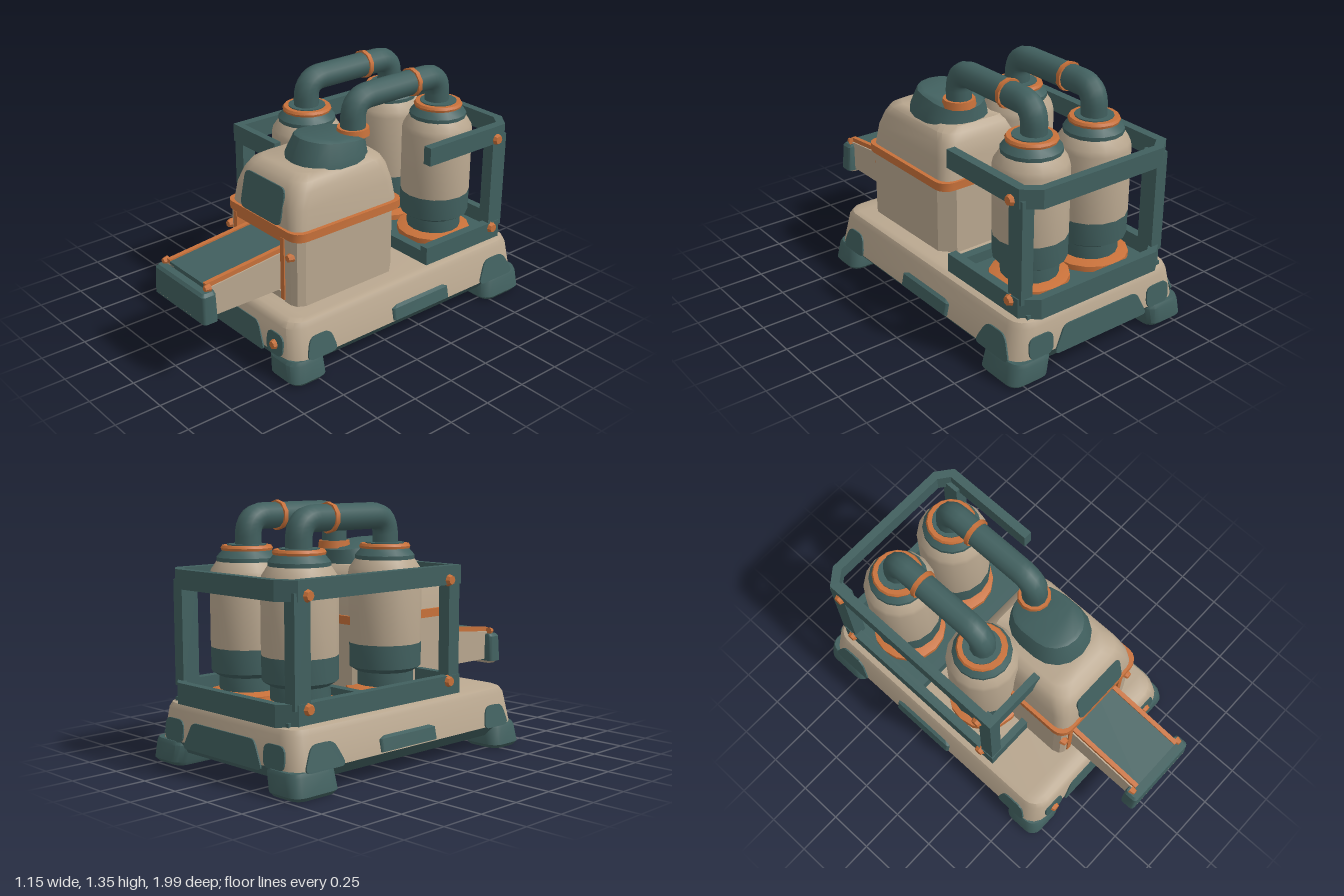
import * as THREE from 'three';
import { toCreasedNormals } from 'three/addons/utils/BufferGeometryUtils.js';

const flat = (name, color) => Object.assign(new THREE.MeshStandardMaterial({ color }), { name });

// Rounded rectangle rings stacked upwards: [y, x0, x1, z0, z1, radius, slope along z]
function loft(sections, seg = 4) {
  const rings = sections.map(([y, x0, x1, z0, z1, r, slope = 0]) => {
    const ring = [];
    [[x1 - r, z1 - r], [x0 + r, z1 - r], [x0 + r, z0 + r], [x1 - r, z0 + r]].forEach(([cx, cz], q) => {
      for (let i = 0; i <= seg; i++) {
        const a = (q + i / seg) * Math.PI / 2;
        const z = cz + r * Math.sin(a);
        ring.push([cx + r * Math.cos(a), y + slope * z, z]);
      }
    });
    return ring;
  });
  const n = rings[0].length, pos = [];
  const tri = (...p) => p.forEach(v => pos.push(...v));
  for (let i = 0; i < rings.length - 1; i++) {
    for (let j = 0; j < n; j++) {
      const k = (j + 1) % n, a = rings[i], b = rings[i + 1];
      tri(a[j], b[j], a[k]);
      tri(a[k], b[j], b[k]);
    }
  }
  const low = rings[0], high = rings[rings.length - 1];
  for (let j = 1; j < n - 1; j++) {
    tri(low[0], low[j], low[j + 1]);
    tri(high[0], high[j + 1], high[j]);
  }
  const g = new THREE.BufferGeometry();
  g.setAttribute('position', new THREE.Float32BufferAttribute(pos, 3));
  return toCreasedNormals(g, 0.6);
}

// Outline in plan (x, z) extruded down from top
function plan(points, top, height) {
  const shape = new THREE.Shape(points.map(p => new THREE.Vector2(...p)));
  return new THREE.ExtrudeGeometry(shape, { depth: height, bevelEnabled: false })
    .rotateX(Math.PI / 2).translate(0, top, 0);
}

const lathe = (pts, seg = 16) =>
  toCreasedNormals(new THREE.LatheGeometry(pts.map(p => new THREE.Vector2(...p)), seg), 0.6);

export function createModel() {
  const model = new THREE.Group();
  const tan = flat('tan paint', 0xb9a78f);
  const teal = flat('dark teal', 0x41605f);
  const orange = flat('copper orange', 0xc8713a);

  const add = (name, geo, mat, x = 0, y = 0, z = 0) => {
    const m = new THREE.Mesh(geo, mat);
    m.name = name;
    m.position.set(x, y, z);
    model.add(m);
    return m;
  };
  const box = (name, mat, x0, x1, y0, y1, z0, z1) =>
    add(name, new THREE.BoxGeometry(x1 - x0, y1 - y0, z1 - z0), mat, (x0 + x1) / 2, (y0 + y1) / 2, (z0 + z1) / 2);
  // Bolt whose axis turns by yaw away from the front
  const bolt = (x, y, z, yaw = 0, r = 0.032) => {
    const g = new THREE.CylinderGeometry(r * 0.65, r, 0.03, 8).rotateX(Math.PI / 2);
    add('bolt', toCreasedNormals(g, 0.3), orange, x, y, z).rotation.y = yaw;
  };
  // Thin painted panel leaning back by tilt
  const panel = (name, mat, w, h, r, x, y, z, yaw, tilt, wTop = w) => {
    const s = new THREE.Shape();
    const c = [[-w / 2, -h / 2], [w / 2, -h / 2], [wTop / 2, h / 2], [-wTop / 2, h / 2]].map(p => new THREE.Vector2(...p));
    c.forEach((p, i) => {
      const a = p.clone().lerp(c[(i + 3) % 4], r / p.distanceTo(c[(i + 3) % 4]));
      const b = p.clone().lerp(c[(i + 1) % 4], r / p.distanceTo(c[(i + 1) % 4]));
      i ? s.lineTo(a.x, a.y) : s.moveTo(a.x, a.y);
      s.quadraticCurveTo(p.x, p.y, b.x, b.y);
    });
    const m = add(name, new THREE.ExtrudeGeometry(s, { depth: 0.009, bevelEnabled: false, curveSegments: 4 }), mat, x, y, z);
    m.rotation.set(-tilt, yaw, 0, 'YXZ');
  };

  // Base with dark skirt
  add('baseSkirt', loft([[0.07, -0.5, 0.5, -0.93, 0.61, 0.1], [0.13, -0.55, 0.55, -0.965, 0.65, 0.1]]), teal);
  add('base', loft([[0.13, -0.55, 0.55, -0.965, 0.65, 0.1], [0.29, -0.515, 0.515, -0.955, 0.635, 0.1],
    [0.318, -0.5, 0.5, -0.94, 0.615, 0.09], [0.328, -0.475, 0.475, -0.915, 0.59, 0.07]]), tan);

  // Feet, corner guards and side panels
  for (const s of [-1, 1]) {
    for (const [z0, z1] of [[0.44, 0.665], [-0.99, -0.7]]) {
      const xs = (a, b) => s > 0 ? [a, b] : [-b, -a];
      add('foot', loft([[0, ...xs(0.35, 0.56), z0 + 0.02, z1 - 0.02, 0.05], [0.02, ...xs(0.34, 0.575), z0, z1, 0.06],
        [0.11, ...xs(0.32, 0.56), z0, z1 - 0.005, 0.07], [0.13, ...xs(0.33, 0.55), z0 + 0.01, z1 - 0.02, 0.06]]), teal);
    }
    const yaw = s * Math.PI / 2;
    panel('frontGuard', teal, 0.13, 0.12, 0.045, s * 0.39, 0.185, 0.643, 0, 0.1);
    panel('backGuard', teal, 0.15, 0.12, 0.045, s * 0.39, 0.185, -0.961, Math.PI, 0.08);
    panel('sideGuard', teal, 0.2, 0.12, 0.04, s * 0.538, 0.18, 0.47, yaw, 0.21, 0.13);
    panel('sideGuard', teal, 0.27, 0.13, 0.04, s * 0.538, 0.185, -0.79, yaw, 0.21, 0.14);
    bolt(s * 0.39, 0.18, 0.655);
    const side = add('sidePanel', loft([[-0.04, -0.2, 0.2, -0.02, 0.02, 0.015], [0.025, -0.2, 0.2, -0.02, 0.02, 0.015],
      [0.04, -0.17, 0.17, -0.02, 0.005, 0.01]]), teal, s * 0.535, 0.175, -0.215);
    side.rotation.set(-0.21, yaw, 0, 'YXZ');
  }
  panel('frontPanel', teal, 0.62, 0.14, 0.03, 0, 0.175, 0.644, 0, 0.12, 0.48);
  panel('backPanel', teal, 0.62, 0.14, 0.03, 0, 0.175, -0.963, Math.PI, 0.08, 0.48);

  // Housing: notched lower walls, band and tapered upper shell
  add('housingWalls', plan([[-0.185, -0.12], [-0.12, -0.195], [0.32, -0.195], [0.39, -0.12], [0.395, 0.45], [0.375, 0.49], [0.34, 0.505],
    [0.29, 0.505], [0.29, 0.2], [-0.13, 0.2], [-0.13, 0.505], [-0.15, 0.505], [-0.175, 0.49], [-0.188, 0.45]], 0.71, 0.39), tan);
  add('housingBand', loft([[0.7, -0.2, 0.412, -0.205, 0.52, 0.07], [0.745, -0.2, 0.412, -0.205, 0.52, 0.07]]), orange);
  add('housingTop', loft([[0.74, -0.18, 0.39, -0.19, 0.505, 0.07], [0.85, -0.165, 0.375, -0.18, 0.495, 0.08],
    [0.93, -0.145, 0.355, -0.165, 0.468, 0.09], [0.975, -0.12, 0.335, -0.14, 0.44, 0.09],
    [1.0, -0.08, 0.295, -0.11, 0.395, 0.08]]), tan);
  panel('window', teal, 0.33, 0.2, 0.04, 0.105, 0.845, 0.491, 0, 0.2);
  add('hopperCap', loft([[0.98, -0.04, 0.325, -0.11, 0.335, 0.17], [1.02, -0.035, 0.32, -0.105, 0.33, 0.17],
    [1.085, 0, 0.29, -0.1, 0.285, 0.14, 0.13], [1.096, 0.02, 0.27, -0.08, 0.265, 0.12, 0.13]]), teal);

  // Opening lining
  box('openingSill', tan, -0.13, 0.29, 0.32, 0.37, 0.2, 0.5);
  box('openingBack', teal, -0.13, 0.29, 0.37, 0.7, 0.2, 0.21);
  box('openingLintel', orange, -0.13, 0.29, 0.665, 0.705, 0.45, 0.51);
  for (const [a, b] of [[-0.135, -0.105], [0.265, 0.295]]) box('openingJamb', orange, a, b, 0.34, 0.69, 0.3, 0.512);
  bolt(-0.17, 0.6, 0.51, 0, 0.027);
  bolt(0.34, 0.6, 0.51, 0, 0.027);

  // Output tray with sloping belt
  box('trayBody', tan, -0.105, 0.255, 0.385, 0.54, 0.25, 0.94);
  const belt = new THREE.Group();
  belt.name = 'belt';
  belt.position.set(0.075, 0.575, 0.62);
  belt.rotation.x = 0.1;
  for (const [name, mat, w, h, x, y] of [['beltBase', tan, 0.36, 0.05, 0, -0.022], ['beltSurface', teal, 0.3, 0.03, 0, 0.004],
    ['beltRail', orange, 0.025, 0.036, -0.16, 0.01], ['beltRail', orange, 0.025, 0.036, 0.16, 0.01]]) {
    const m = new THREE.Mesh(new THREE.BoxGeometry(w, h, 0.66), mat);
    m.name = name;
    m.position.set(x, y, 0);
    belt.add(m);
  }
  model.add(belt);
  add('trayLip', loft([[0.36, -0.13, 0.27, 0.925, 0.985, 0.02], [0.385, -0.155, 0.295, 0.915, 1, 0.02]]), tan);
  add('trayEnd', loft([[0.375, -0.157, 0.297, 0.914, 1, 0.02], [0.52, -0.148, 0.288, 0.915, 0.998, 0.02],
    [0.535, -0.135, 0.275, 0.92, 0.985, 0.015]]), teal);
  for (const x of [-0.115, 0.255]) bolt(x, 0.55, 0.95, 0, 0.022);

  // Tanks
  const tanks = [[-0.205, -0.04], [-0.205, -0.635], [0.195, -0.635]];
  for (const [x, z] of tanks) {
    const part = (name, pts, mat) => add(name, lathe(pts), mat, x, 0, z);
    part('tankFlange', [[0, 0.33], [0.205, 0.33], [0.205, 0.375], [0.15, 0.39], [0, 0.39]], orange);
    part('tankFoot', [[0.15, 0.38], [0.15, 0.46], [0.19, 0.485], [0.192, 0.61]], teal);
    part('tankBody', [[0.192, 0.61], [0.192, 0.97], [0.185, 1.0], [0.155, 1.045], [0.1, 1.05]], tan);
    part('tankCap', [[0.155, 1.04], [0.155, 1.065], [0.125, 1.1], [0, 1.105]], teal);
    part('tankRing', [[0.1, 1.1], [0.13, 1.1], [0.133, 1.112], [0.125, 1.125], [0.095, 1.125], [0, 1.12]], orange);
    part('tankInset', [[0.1, 1.115], [0.1, 1.13], [0, 1.13]], teal);
  }

  // Bent pipes and their collars
  const v = (y, z) => new THREE.Vector3(0, y, z);
  const path = new THREE.CurvePath();
  path.add(new THREE.LineCurve3(v(1.08, -0.035), v(1.17, -0.035)));
  path.add(new THREE.QuadraticBezierCurve3(v(1.17, -0.035), v(1.27, -0.035), v(1.27, -0.14)));
  path.add(new THREE.LineCurve3(v(1.27, -0.14), v(1.27, -0.54)));
  path.add(new THREE.QuadraticBezierCurve3(v(1.27, -0.54), v(1.27, -0.635), v(1.17, -0.635)));
  path.add(new THREE.LineCurve3(v(1.17, -0.635), v(1.08, -0.635)));
  for (const x of [-0.203, 0.182]) {
    add('pipe', new THREE.TubeGeometry(path, 40, 0.068, 12), teal, x);
    add('pipeCollar', new THREE.CylinderGeometry(0.078, 0.078, 0.025, 10).rotateX(Math.PI / 2), orange, x, 1.27, -0.44);
  }
  add('hopperCollar', new THREE.CylinderGeometry(0.085, 0.09, 0.04, 12), orange, 0.182, 1.1, -0.035);

  // Cage rails, open on the right front, with chamfered back corners
  const rail = [[-0.47, 0.26], [-0.1, 0.26], [-0.1, 0.22], [-0.42, 0.22], [-0.42, -0.86], [-0.36, -0.905], [0.36, -0.905], [0.42, -0.86],
    [0.42, -0.32], [0.47, -0.32], [0.47, -0.88], [0.38, -0.95], [-0.38, -0.95], [-0.47, -0.88]];
  add('upperRail', plan(rail, 1.01, 0.1), teal);
  add('lowerRail', plan(rail, 0.43, 0.11), teal);
  box('trayFloor', teal, -0.44, 0.44, 0.32, 0.345, -0.92, -0.34);
  box('trayFront', teal, -0.44, 0.46, 0.32, 0.4, -0.37, -0.32);
  for (const [x, z, d] of [[-0.43, -0.85, 0.1], [0.43, -0.85, 0.1], [-0.43, 0.215, 0.08]])
    box('cagePost', teal, x - 0.035, x + 0.035, 0.4, 0.95, z - d / 2, z + d / 2);
  for (const y of [0.4, 0.935]) {
    bolt(-0.475, y, -0.82, -Math.PI / 2, 0.035);
    bolt(0.475, y, -0.82, Math.PI / 2, 0.035);
    bolt(-0.475, y, 0.17, -Math.PI / 2, 0.035);
  }
  return model;
}
